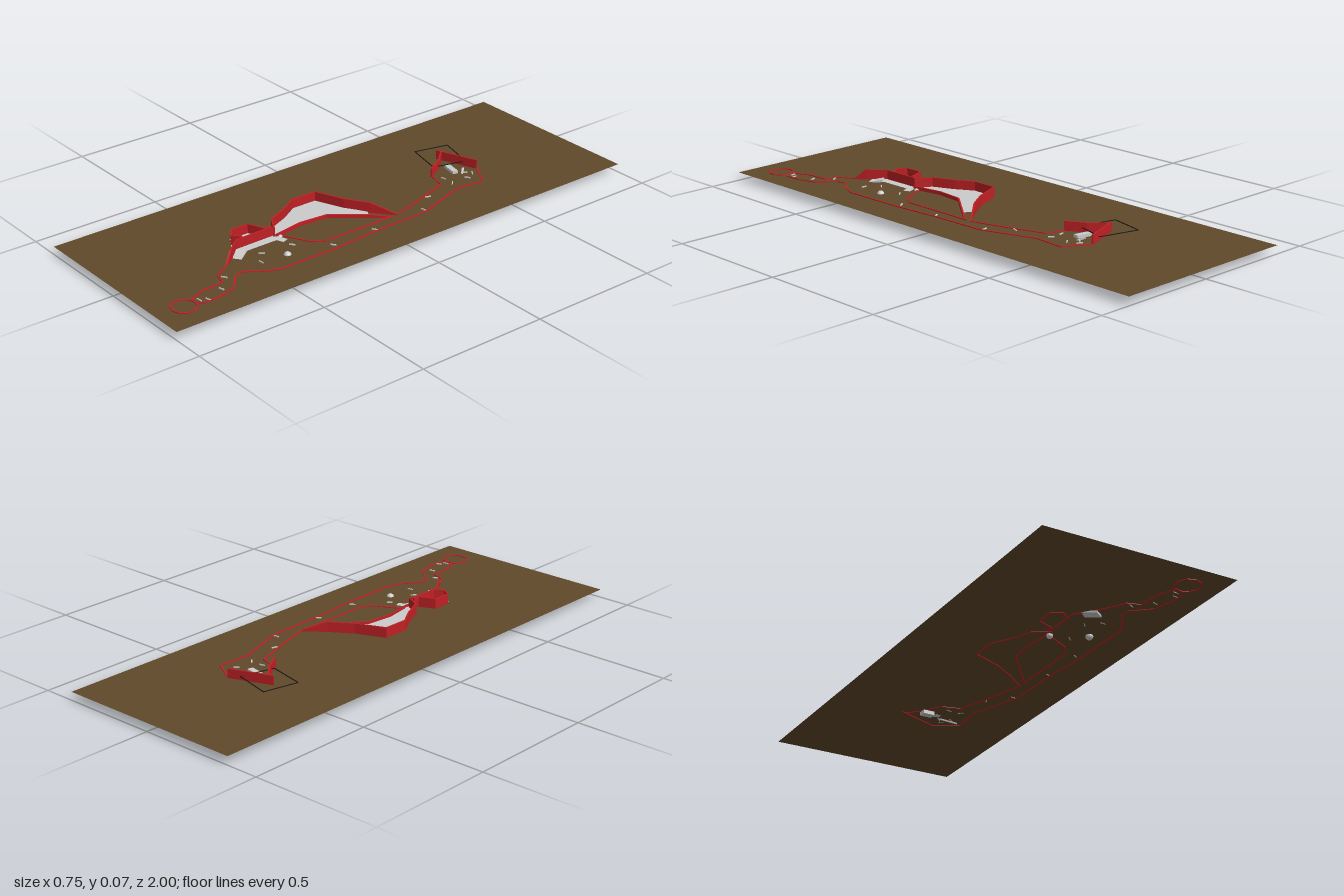
import * as THREE from 'three';

const GROUND = 0.033;
const mat = (color) => new THREE.MeshStandardMaterial({ color, flatShading: true, side: THREE.DoubleSide });

export function createModel() {
  const model = new THREE.Group();
  const red = mat(0xc02024), brown = mat(0x60492a), grey = mat(0xcccccc), black = mat(0x1c1c18);

  const add = (name, geometry, material, x = 0, y = 0, z = 0) => {
    const m = new THREE.Mesh(geometry, material);
    m.name = name;
    m.position.set(x, y, z);
    model.add(m);
    return m;
  };

  // Thin wall along points [x, z, top]; a rectangular section swept with mitred corners
  const wall = (name, pts, closed = false, material = red, bottom = 0.031, width = 0.006) => {
    const n = pts.length, pos = [], idx = [];
    pts.forEach(([x, z, top = 0.036], i) => {
      const a = pts[closed ? (i + n - 1) % n : Math.max(i - 1, 0)];
      const b = pts[closed ? (i + 1) % n : Math.min(i + 1, n - 1)];
      const d = new THREE.Vector2(b[0] - a[0], b[1] - a[1]).normalize().multiplyScalar(width / 2);
      const l = [x - d.y, z + d.x], r = [x + d.y, z - d.x];
      pos.push(l[0], bottom, l[1], l[0], top, l[1], r[0], top, r[1], r[0], bottom, r[1]);
    });
    for (let i = 0; i < (closed ? n : n - 1); i++) {
      const p = i * 4, q = ((i + 1) % n) * 4;
      for (let k = 0; k < 4; k++) {
        const k2 = (k + 1) % 4;
        idx.push(p + k, q + k, q + k2, p + k, q + k2, p + k2);
      }
    }
    if (!closed) {
      const e = (n - 1) * 4;
      idx.push(0, 1, 2, 0, 2, 3, e, e + 2, e + 1, e, e + 3, e + 2);
    }
    const g = new THREE.BufferGeometry();
    g.setAttribute('position', new THREE.Float32BufferAttribute(pos, 3));
    g.setIndex(idx);
    g.computeVertexNormals();
    return add(name, g, material);
  };

  // Flat area from [x, z] points
  const floor = (name, pts, y) => {
    const g = new THREE.ShapeGeometry(new THREE.Shape(pts.map(([x, z]) => new THREE.Vector2(x, -z))));
    return add(name, g.rotateX(-Math.PI / 2), grey, 0, y, 0);
  };

  // Square bar between two points
  const bar = (name, a, b, w, h, material = grey) => {
    const p = new THREE.Vector3(...a), q = new THREE.Vector3(...b);
    const m = add(name, new THREE.BoxGeometry(w, h, p.distanceTo(q)), material);
    m.position.copy(p).lerp(q, 0.5);
    m.lookAt(q);
    return m;
  };

  // Ground sheet
  add('ground', new THREE.PlaneGeometry(0.75, 2).rotateX(-Math.PI / 2), brown, 0, GROUND, 0);

  // Low outline of the course
  wall('outerKerb', [[0.07, -0.56], [0.165, -0.505], [0.155, -0.385], [0.225, -0.175], [0.23, 0.05],
    [0.245, 0.24], [0.247, 0.49], [0.225, 0.54], [0.18, 0.6], [0.19, 0.635], [0.255, 0.69],
    [0.275, 0.76], [0.277, 0.82], [0.258, 0.845]]);
  wall('innerKerbBack', [[0.02, -0.385], [0.09, -0.365], [0.14, -0.22], [0.18, -0.08]]);
  wall('innerKerbMiddle', [[0.18, -0.06], [0.18, 0.24], [0.15, 0.285], [0.055, 0.335]]);
  wall('innerKerbFront', [[0.115, 0.62], [0.15, 0.68], [0.2, 0.695], [0.205, 0.78], [0.235, 0.845]]);
  const ring = Array.from({ length: 10 }, (_, i) => {
    const t = (i / 10) * Math.PI * 2;
    return [0.255 + 0.046 * Math.sin(t), 0.888 + 0.046 * Math.cos(t)];
  });
  wall('endRing', ring, true);

  // Raised bay in the middle
  const T = 0.072, L = 0.046;
  floor('middleFloor', [[-0.09, 0.08], [0.02, 0.035], [0.1, -0.01], [0.135, 0.01], [0.04, 0.13],
    [0.03, 0.24], [0.05, 0.36], [-0.015, 0.33], [-0.05, 0.25], [-0.09, 0.18]], 0.037);
  wall('middleTallWall', [[0.18, -0.08, 0.037], [0.105, -0.02, T], [0.02, 0.035, T], [-0.09, 0.08, T],
    [-0.092, 0.18, T], [-0.05, 0.25, T], [-0.015, 0.33, T], [0.045, 0.365, T]]);
  wall('middleLowWall', [[0.18, -0.05, 0.036], [0.135, 0.01, L], [0.04, 0.13, L], [0.03, 0.24, L], [0.05, 0.36, L]]);

  // Front bay with side pocket and sloping strip
  floor('frontStrip', [[0.035, 0.36], [0.09, 0.34], [0.1, 0.365], [0.073, 0.375], [0.073, 0.5],
    [0.105, 0.545], [0.07, 0.57], [0.005, 0.52], [0.035, 0.5]], 0.037);
  floor('pocketFloor', [[-0.035, 0.42], [0.02, 0.4], [0.03, 0.45], [0.015, 0.5], [-0.035, 0.5]], 0.037);
  wall('pocketWall', [[0.03, 0.37, T], [0.025, 0.395, T], [-0.035, 0.42, T], [-0.035, 0.49, T],
    [0.0, 0.515, T], [0.03, 0.49, T]]);
  wall('frontTallWall', [[0.035, 0.365, T], [0.037, 0.52, T], [0.09, 0.585, T], [0.115, 0.62, 0.037]]);
  bar('frontRamp', [0.06, 0.04, 0.52], [0.105, 0.024, 0.58], 0.04, 0.008);

  // Back bay with tall walls
  const B = 0.068;
  wall('backTallWall', [[-0.09, -0.5, B], [0.07, -0.56, B]]);
  wall('backSideWall', [[-0.07, -0.505, B], [-0.02, -0.45, B], [0.02, -0.38, B]]);
  bar('backBlock', [-0.005, 0.038, -0.48], [0.055, 0.038, -0.468], 0.022, 0.012);
  bar('lowerBlock', [-0.03, 0.023, -0.45], [0.015, 0.023, -0.45], 0.03, 0.014);
  bar('lowerBeam', [0.05, 0.043, -0.51], [0.113, 0.004, -0.44], 0.008, 0.005);

  // Thin rectangular frame behind the back bay
  wall('frame', [[-0.13, -0.59, 0.05], [0.02, -0.55, 0.05], [-0.015, -0.42, 0.05], [-0.162, -0.455, 0.05]],
    true, black, 0.047, 0.003);

  // Round markers
  add('ball', new THREE.SphereGeometry(0.014, 16, 12), grey, 0.175, 0.03, 0.405);
  add('smallBall', new THREE.SphereGeometry(0.012, 16, 12), grey, 0.05, 0.028, 0.345);

  // Small pegs scattered inside the kerbs: [x, z, turn]
  [[0.07, -0.5, 0.9], [0.09, -0.52, -0.6], [0.11, -0.48, 0.7], [0.11, -0.405, -0.8], [0.06, -0.405, 0.2],
    [0.14, -0.26, 1.2], [0.21, -0.18, 0.1], [0.22, 0.055, 0.5], [0.22, 0.24, 0.6], [0.13, 0.35, 0.8],
    [0.115, 0.47, 0.9], [0.165, 0.51, 0.1], [0.175, 0.67, 0.5], [0.235, 0.725, 0.3],
    [0.265, 0.8, 0.2], [0.25, 0.825, 0.1]].forEach(([x, z, turn]) => {
    add('peg', new THREE.BoxGeometry(0.022, 0.005, 0.004), grey, x, 0.0345, z).rotation.y = turn;
  });
  return model;
}
